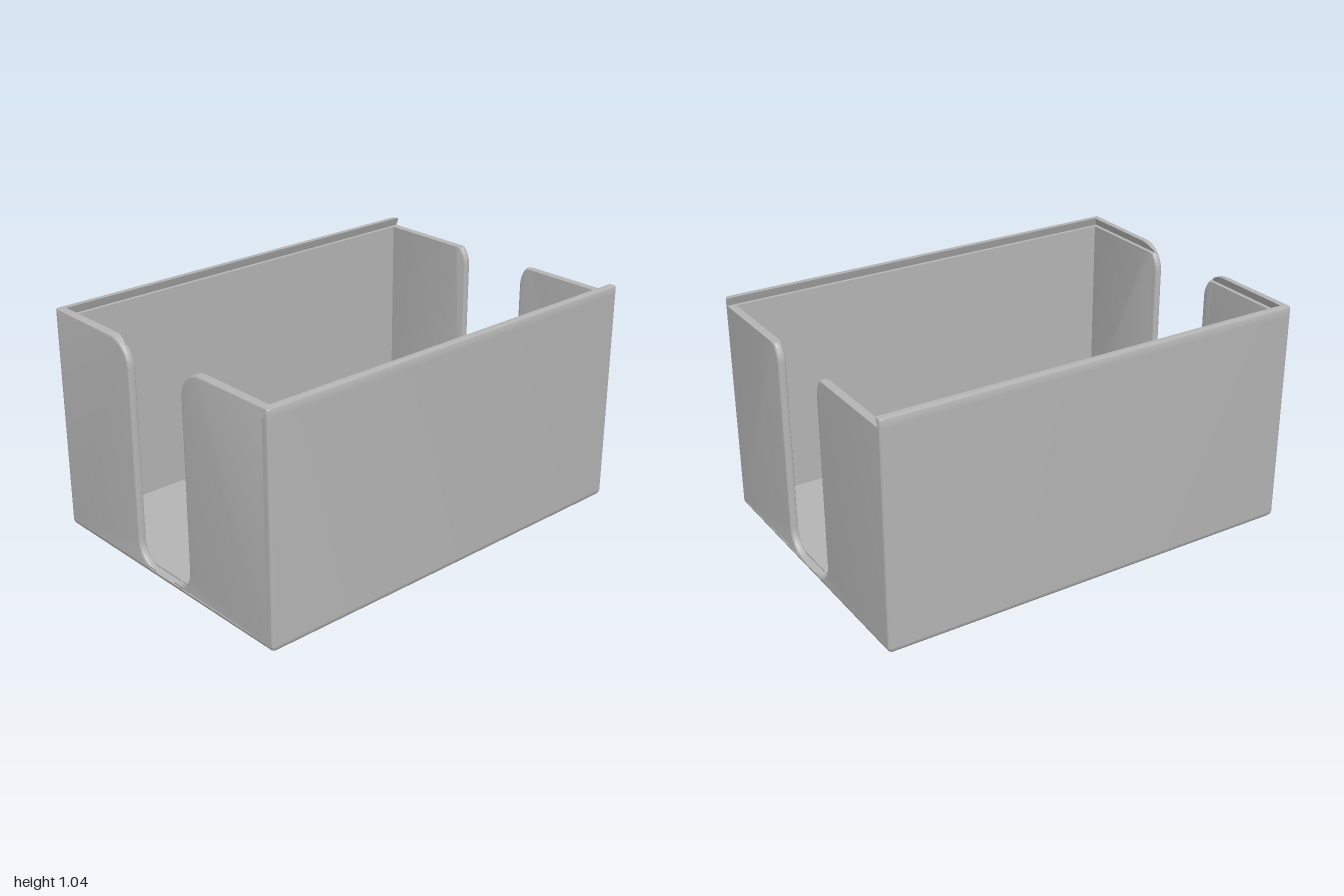
import * as THREE from 'three';
import { toCreasedNormals } from 'three/addons/utils/BufferGeometryUtils.js';

const W = 0.71, D = 1, H = 1.045;            // half width, half depth, height
const IN_X = 0.675, IN_Z = 0.963;            // inner faces of the walls
const BASE = 0.03, LEDGE = 1.005, R = 0.012; // base top, lid groove floor, edge rounding

const plastic = new THREE.MeshStandardMaterial({ color: 0xb3b3b3 });
plastic.name = 'grey plastic';

// Closed solid through rings of equal point count; caps are triangulated in the u,v plane
function loft(rings, u, v) {
  const pos = [];
  const tri = (a, b, c) => pos.push(a, b, c);
  const flat = ring => ring.map(p => new THREE.Vector2(p[u], p[v]));
  const cap = (ring, reverse) => {
    const pts = flat(ring), sign = Math.sign(THREE.ShapeUtils.area(pts));
    for (const [a, b, c] of THREE.ShapeUtils.triangulateShape(pts, [])) {
      const same = Math.sign(THREE.ShapeUtils.area([pts[a], pts[b], pts[c]])) === sign;
      if (same !== reverse) tri(ring[a], ring[b], ring[c]);
      else tri(ring[a], ring[c], ring[b]);
    }
  };
  cap(rings[0], true);
  for (let i = 0; i < rings.length - 1; i++) {
    const a = rings[i], b = rings[i + 1], n = a.length;
    for (let j = 0; j < n; j++) {
      const k = (j + 1) % n;
      tri(a[j], a[k], b[k]);
      tri(a[j], b[k], b[j]);
    }
  }
  cap(rings[rings.length - 1], false);
  // Turn the solid right side out
  let volume = 0;
  for (let i = 0; i < pos.length; i += 3) {
    volume += pos[i].dot(new THREE.Vector3().crossVectors(pos[i + 1], pos[i + 2]));
  }
  if (volume < 0) pos.reverse();
  const geometry = new THREE.BufferGeometry().setFromPoints(pos);
  return toCreasedNormals(geometry, 0.6);
}

// Plan outline at height y; r0 rounds the corners at x0, r1 those at x1
function plan(y, x0, x1, z, r0, r1, mirror = 1) {
  const pts = [];
  const corner = (x, zc, r, start, sx, sz) => {
    const steps = r ? 4 : 0;
    for (let i = 0; i <= steps; i++) {
      const a = start + (steps ? i / steps : 0) * Math.PI / 2;
      pts.push(new THREE.Vector3(
        mirror * (x - sx * r + r * Math.cos(a)), y, zc - sz * r + r * Math.sin(a)));
    }
  };
  corner(x1, z, r1, 0, 1, 1);
  corner(x0, z, r0, Math.PI / 2, -1, 1);
  corner(x0, -z, r0, Math.PI, -1, -1);
  corner(x1, -z, r1, Math.PI * 1.5, 1, -1);
  return pts;
}

// Half of an end wall: straight outside, rounded finger cut-out towards the middle
function panelOutline() {
  const pts = [[0.703, BASE], [0.703, H]];
  const r = 0.125, split = Math.asin((LEDGE - H + r) / r);
  const top = a => pts.push([0.30 - r * Math.cos(a), H - r + r * Math.sin(a)]);
  for (let i = 0; i <= 6; i++) top(THREE.MathUtils.lerp(Math.PI / 2, split, i / 6));
  for (let i = 1; i <= 6; i++) top(THREE.MathUtils.lerp(split, 0, i / 6));
  const q = 0.11;
  for (let i = 0; i <= 10; i++) {
    const a = i / 10 * Math.PI / 2;
    pts.push([0.065 + q * Math.cos(a), BASE + q - q * Math.sin(a)]);
  }
  return pts;
}

function inset(pts, d) {
  return pts.map(([x, y], i) => {
    const p = pts[(i + pts.length - 1) % pts.length], n = pts[(i + 1) % pts.length];
    const tx = n[0] - p[0], ty = n[1] - p[1], l = Math.hypot(tx, ty);
    return [x - ty / l * d, y === BASE ? y : Math.max(BASE, y + tx / l * d)];
  });
}

function endPanel(side, end) {
  const outline = panelOutline(), rings = [];
  const maxY = end > 0 ? H : LEDGE;          // the lid slides in over the lower back wall
  const ring = (d, z, limit) => rings.push(inset(outline, d).map(([x, y]) =>
    new THREE.Vector3(side * x, Math.min(y, limit), end * (typeof z === 'function' ? z(y) : z))));
  for (let i = 0; i <= 4; i++) {
    const a = i / 4 * Math.PI / 2;
    ring(R * (1 - Math.sin(a)), D - R * (1 - Math.cos(a)), maxY);
  }
  if (end > 0) {
    // Undercut lip above the groove
    const root = 0.982;
    ring(0, y => root - Math.max(0, y - LEDGE) / (H - LEDGE) * 0.017, H);
    ring(0, root, LEDGE);
  }
  for (let i = 0; i <= 4; i++) {
    const a = i / 4 * Math.PI / 2;
    ring(R * (1 - Math.cos(a)), IN_Z + R * (1 - Math.sin(a)), LEDGE);
  }
  return loft(rings, 'x', 'y');
}

export function createModel() {
  const model = new THREE.Group();
  model.name = 'openTray';
  const add = (name, geometry) => {
    const mesh = new THREE.Mesh(geometry, plastic);
    mesh.name = name;
    model.add(mesh);
    return mesh;
  };

  // Base with rounded lower edges
  const baseRings = [];
  for (let i = 0; i <= 6; i++) {
    const a = i / 6 * Math.PI / 2, d = 0.035 * (1 - Math.sin(a));
    baseRings.push(plan(BASE * (1 - Math.cos(a)), -W + d, W - d, D - d, R, R));
  }
  add('base', loft(baseRings, 'x', 'z'));

  // Raised inner floor
  add('floor', new THREE.BoxGeometry(IN_X * 2, 0.008, IN_Z * 2)).position.y = BASE + 0.003;

  for (const side of [1, -1]) {
    const name = side > 0 ? 'left' : 'right';

    // Long wall with a slanted lid groove under its rim
    const b = 0.008;
    add(name + 'Wall', loft([
      plan(BASE, IN_X, W, D, 0, R, side),
      plan(LEDGE, IN_X, W, D, 0, R, side),
      plan(LEDGE, 0.693, W, D, 0, R, side),
      plan(H - b, 0.68, W, D, 0, R, side),
      plan(H - b * 0.3, 0.678, W - b * 0.3, D - b * 0.3, 0, R, side),
      plan(H, 0.677, W - b, D - b, 0, R, side),
    ], 'x', 'z'));

    // End walls either side of the finger cut-outs
    add(name + 'FrontPanel', endPanel(side, 1));
    add(name + 'BackPanel', endPanel(side, -1));
  }
  return model;
}
